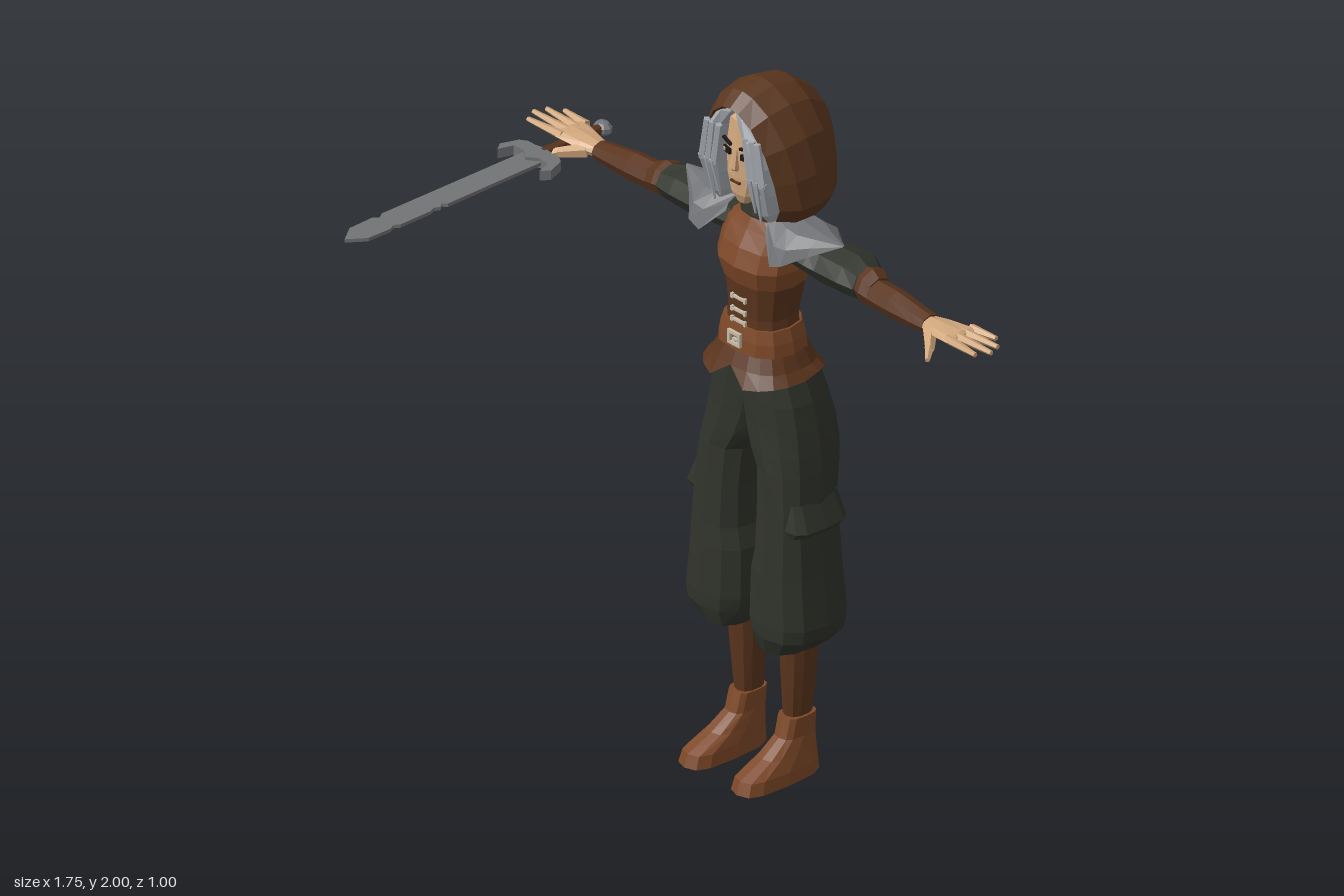
import * as THREE from 'three';

const mat = (name, color) => {
  const m = new THREE.MeshStandardMaterial({ color, side: THREE.DoubleSide });
  m.name = name;
  return m;
};

export function createModel() {
  const M = {
    hood: mat('hood brown', 0x5a361e), vest: mat('tan leather', 0x7d4827),
    leather: mat('dark leather', 0x5a341c), cloth: mat('dark green cloth', 0x30332b),
    skin: mat('skin', 0xd0a67c), hair: mat('silver hair', 0xa6aab0),
    steel: mat('steel', 0x727376), dark: mat('near black', 0x1d1815),
    pale: mat('pale metal', 0xc6bca8),
  };
  const model = new THREE.Group();
  model.name = 'hoodedSwordswoman';

  const add = (parent, name, geo, material) => {
    const g = geo.index ? geo.toNonIndexed() : geo;
    g.computeVertexNormals(); // faceted look
    const mesh = new THREE.Mesh(g, material);
    mesh.name = name;
    parent.add(mesh);
    return mesh;
  };

  // Skin over a list of rings; closed rings wrap round and get end caps
  const loft = (rings, closed = true) => {
    const n = rings[0].length, tris = [];
    const quad = (a, b, c, d) => tris.push([a, b, c], [a, c, d]);
    for (let i = 0; i + 1 < rings.length; i++)
      for (let j = 0; j < (closed ? n : n - 1); j++) {
        const k = (j + 1) % n;
        quad(rings[i][j], rings[i][k], rings[i + 1][k], rings[i + 1][j]);
      }
    if (closed) {
      const first = rings[0], last = rings[rings.length - 1];
      for (let j = 1; j + 1 < n; j++) {
        tris.push([first[0], first[j + 1], first[j]]);
        tris.push([last[0], last[j], last[j + 1]]);
      }
    }
    // turn the faces outward, measured from the middle of the part
    const mid = new THREE.Vector3();
    rings.flat().forEach(p => mid.add(p));
    mid.divideScalar(rings.length * n);
    const rel = p => p.clone().sub(mid);
    let vol = 0;
    for (const [a, b, c] of tris) vol += rel(a).dot(rel(b).cross(rel(c)));
    if (vol < 0) tris.forEach(t => t.reverse());
    return new THREE.BufferGeometry().setFromPoints(tris.flat());
  };
  const V = (x, y, z) => new THREE.Vector3(x, y, z);
  const sup = (c, e) => Math.sign(c) * Math.abs(c) ** e;
  const around = (n, f) => Array.from({ length: n }, (_, i) => f(i / n * Math.PI * 2));

  // Upright form from rows of [y, xMin, xMax, zFront, zBack]
  const upright = (rows, n = 12, e = 0.8) => loft(rows.map(([y, x0, x1, zf, zb]) =>
    around(n, t => V((x0 + x1) / 2 + (x1 - x0) / 2 * sup(Math.sin(t), e), y,
      (zf + zb) / 2 + (zf - zb) / 2 * sup(Math.cos(t), e)))));
  const sym = rows => rows.map(([y, w, zf, zb]) => [y, -w, w, zf, zb]);
  // Sideways form from rows of [x, yMid, yRadius, zMid, zRadius]
  const sideways = (rows, n = 8) => loft(rows.map(([x, y, ry, z, rz]) =>
    around(n, t => V(x, y + ry * Math.cos(t), z + rz * Math.sin(t)))));
  // Tapered rod between two points
  const rod = (a, b, ra, rb, n = 5) => {
    const d = b.clone().sub(a);
    return new THREE.CylinderGeometry(rb, ra, d.length(), n)
      .applyQuaternion(new THREE.Quaternion().setFromUnitVectors(V(0, 1, 0), d.clone().normalize()))
      .translate((a.x + b.x) / 2, (a.y + b.y) / 2, (a.z + b.z) / 2);
  };
  const box = (w, h, d, x, y, z, ry = 0, rz = 0) =>
    new THREE.BoxGeometry(w, h, d).rotateZ(rz).rotateY(ry).translate(x, y, z);

  // Torso
  add(model, 'vest', upright(sym([[1.605, 0.08, -0.25, -0.375], [1.575, 0.128, -0.235, -0.395],
    [1.53, 0.125, -0.208, -0.405], [1.48, 0.127, -0.19, -0.405], [1.425, 0.11, -0.205, -0.395]])), M.vest);
  add(model, 'corset', upright(sym([[1.43, 0.107, -0.207, -0.392], [1.38, 0.1, -0.21, -0.385],
    [1.33, 0.094, -0.214, -0.373], [1.29, 0.1, -0.21, -0.375]])), M.leather);
  add(model, 'belt', upright(sym([[1.305, 0.104, -0.204, -0.38], [1.27, 0.115, -0.196, -0.387],
    [1.235, 0.121, -0.192, -0.392]])), M.vest);
  add(model, 'collar', upright(sym([[1.56, 0.1, -0.25, -0.385], [1.61, 0.075, -0.25, -0.37],
    [1.66, 0.055, -0.262, -0.365]])), M.cloth);

  // Flared skirt of the vest, notched at the front and lifted at the sides
  const skirt = [[1.24, 0.115, -0.2, -0.39], [1.195, 0.138, -0.18, -0.412], [1.145, 0.16, -0.158, -0.43]];
  add(model, 'vestSkirt', loft(skirt.map(([y, w, zf, zb], i) => {
    const r = around(20, t => V(w * sup(Math.sin(t), 0.8),
      y + (i < 2 ? 0 : 0.025 * Math.abs(Math.sin(t)) + 0.01 * (Math.cos(t) < 0)),
      (zf + zb) / 2 + (zf - zb) / 2 * sup(Math.cos(t), 0.8)));
    if (i === 2) r[0].set(0, 1.198, -0.178);
    return [...r, r[0].clone()];
  }), false), M.leather);

  // Lacing and buckle
  for (const y of [1.382, 1.345, 1.315]) {
    add(model, 'lace', box(0.05, 0.007, 0.008, 0, y, -0.208), M.pale);
    for (const s of [-1, 1]) add(model, 'eyelet', box(0.008, 0.014, 0.008, s * 0.024, y, -0.207), M.pale);
  }
  const buckle = new THREE.Shape([[-0.024, -0.02], [0.024, -0.02], [0.024, 0.02], [-0.024, 0.02]].map(p => new THREE.Vector2(...p)));
  buckle.holes.push(new THREE.Path([[-0.014, -0.011], [-0.014, 0.011], [0.014, 0.011], [0.014, -0.011]].map(p => new THREE.Vector2(...p))));
  add(model, 'buckle', new THREE.ExtrudeGeometry(buckle, { depth: 0.009, bevelEnabled: false }).translate(0, 1.27, -0.197), M.pale);
  add(model, 'bucklePin', box(0.02, 0.006, 0.008, 0.006, 1.27, -0.191), M.pale);

  // Head and face
  const head = new THREE.Group();
  head.name = 'head';
  model.add(head);
  add(head, 'neck', rod(V(0, 1.6, -0.315), V(0, 1.72, -0.3), 0.042, 0.042, 8), M.skin);
  add(head, 'face', upright(sym([[1.662, 0.02, -0.212, -0.26], [1.69, 0.045, -0.2, -0.3],
    [1.74, 0.067, -0.195, -0.36], [1.82, 0.078, -0.195, -0.39], [1.9, 0.07, -0.205, -0.39],
    [1.95, 0.03, -0.25, -0.35]])), M.skin);
  add(head, 'nose', upright(sym([[1.825, 0.006, -0.192, -0.21], [1.772, 0.013, -0.176, -0.21],
    [1.762, 0.01, -0.19, -0.21]]), 6), M.skin);
  add(head, 'mouth', box(0.034, 0.006, 0.006, 0, 1.728, -0.196), M.leather);
  for (const s of [-1, 1]) {
    add(head, 'eye', box(0.03, 0.016, 0.008, s * 0.035, 1.808, -0.2, s * 0.25), M.dark);
    add(head, 'eyeGlint', box(0.008, 0.008, 0.008, s * 0.042, 1.809, -0.199, s * 0.25), M.pale);
    add(head, 'eyebrow', box(0.04, 0.007, 0.008, s * 0.036, 1.834, -0.2, s * 0.25, s * 0.15), M.dark);
    // Hair falls in a curtain on each side of an off-centre parting
    const p = s < 0 ? 0.015 : -0.025;
    const curtain = [[1.955, p, 0.05, -0.21, -0.3], [1.92, p, 0.085, -0.19, -0.35],
      [1.87, p + 0.035, 0.105, -0.178, -0.37], [1.8, 0.062, 0.114, -0.18, -0.38],
      [1.72, 0.066, 0.118, -0.188, -0.38], [1.66, 0.075, 0.11, -0.205, -0.35], [1.635, 0.088, 0.1, -0.225, -0.3]];
    add(head, 'hairCurtain', upright(curtain.map(([y, a, b, f, k]) =>
      s > 0 ? [y, a, b, f, k] : [y, -b, -a, f, k]), 10), M.hair);
    for (const [x0, x1, y1] of [[0.05, 0.07, 1.66], [0.075, 0.092, 1.64], [0.095, 0.115, 1.68]]) {
      add(head, 'hairLock', rod(V(s * x0, 1.88, -0.184), V(s * x1, 1.76, -0.185), 0.01, 0.012), M.hair);
      add(head, 'hairLock', rod(V(s * x1, 1.77, -0.184), V(s * x1 * 0.96, y1, -0.205), 0.012, 0.003), M.hair);
    }
  }

  // Hood: arches from the inner lip to the back, [zTop, zBottom, halfWidth, yTop, yBottom]
  const half = [[0.82, 0], [1, 0.14], [0.97, 0.38], [0.83, 0.66], [0.53, 0.88], [0.22, 0.98]];
  const arch = [...half, [0, 1], ...half.map(([x, y]) => [-x, y]).reverse()];
  add(model, 'hood', loft([[-0.22, -0.27, 0.118, 1.93, 1.65], [-0.176, -0.235, 0.135, 1.95, 1.64],
    [-0.22, -0.28, 0.172, 1.985, 1.635], [-0.29, -0.335, 0.183, 2, 1.64], [-0.37, -0.385, 0.168, 1.985, 1.645],
    [-0.44, -0.425, 0.135, 1.935, 1.655], [-0.49, -0.455, 0.075, 1.865, 1.69], [-0.5, -0.5, 0.01, 1.79, 1.77],
  ].map(([zt, zb, w, yt, yb]) => arch.map(([x, y]) => V(x * w, yb + (yt - yb) * y, zb + (zt - zb) * y))), false), M.hood);

  // One side of the body, then its mirror image
  const side = new THREE.Group();
  side.name = 'leftSide';
  // Arm and hand
  add(side, 'sleeve', sideways([[0.09, 1.555, 0.045, -0.31, 0.065], [0.2, 1.545, 0.045, -0.312, 0.065],
    [0.235, 1.54, 0.055, -0.325, 0.072], [0.32, 1.54, 0.054, -0.33, 0.076], [0.375, 1.54, 0.046, -0.315, 0.055],
    [0.385, 1.54, 0.03, -0.31, 0.04]]), M.cloth);
  add(side, 'elbowCuff', sideways([[0.37, 1.54, 0.046, -0.315, 0.05], [0.395, 1.538, 0.05, -0.315, 0.054],
    [0.425, 1.533, 0.042, -0.308, 0.044]]), M.leather);
  add(side, 'forearmGuard', sideways([[0.42, 1.532, 0.038, -0.306, 0.042], [0.5, 1.53, 0.039, -0.305, 0.042],
    [0.58, 1.528, 0.031, -0.302, 0.036], [0.63, 1.528, 0.026, -0.3, 0.032]]), M.leather);
  add(side, 'palm', sideways([[0.62, 1.528, 0.02, -0.3, 0.027], [0.67, 1.533, 0.021, -0.298, 0.042],
    [0.745, 1.54, 0.014, -0.302, 0.055], [0.755, 1.54, 0.008, -0.302, 0.05]]), M.skin);
  for (const [z0, x1, z1] of [[-0.347, 0.825, -0.352], [-0.32, 0.862, -0.324], [-0.292, 0.875, -0.29], [-0.264, 0.855, -0.252]])
    add(side, 'finger', rod(V(0.735, 1.54, z0), V(x1, 1.545, z1), 0.014, 0.007), M.skin);
  add(side, 'thumb', rod(V(0.655, 1.525, -0.275), V(0.715, 1.515, -0.22), 0.02, 0.013), M.skin);
  add(side, 'thumb', rod(V(0.71, 1.516, -0.224), V(0.742, 1.508, -0.188), 0.013, 0.007), M.skin);
  // Pointed shoulder plate
  add(side, 'shoulderPlate', loft([[0.075, 1.6, 1.638, 0.07], [0.135, 1.535, 1.637, 0.11], [0.175, 1.55, 1.63, 0.108],
    [0.225, 1.58, 1.624, 0.06], [0.3, 1.62, 1.622, 0.004]].map(([x, yb, yt, w]) =>
    [-1, -0.85, -0.45, 0, 0.45, 0.85, 1].map(k => V(x, yb + (yt - yb) * Math.sqrt(1 - k * k), -0.3 + w * k))), false), M.steel);
  // Trouser leg with cargo pocket
  add(side, 'trouserLeg', upright([[1.2, -0.06, 0.13, -0.215, -0.4], [1.1, -0.05, 0.165, -0.212, -0.42],
    [1.03, -0.035, 0.178, -0.21, -0.435], [0.96, -0.008, 0.19, -0.205, -0.436], [0.91, 0.025, 0.196, -0.203, -0.425],
    [0.8, 0.03, 0.207, -0.197, -0.405], [0.68, 0.028, 0.215, -0.19, -0.415], [0.62, 0.012, 0.22, -0.186, -0.42],
    [0.48, 0.008, 0.235, -0.18, -0.427], [0.44, 0.018, 0.226, -0.182, -0.427], [0.39, 0.04, 0.175, -0.2, -0.415],
    [0.385, 0.065, 0.14, -0.27, -0.37]]), M.cloth);
  add(side, 'pocketFlap', upright([[0.835, 0.1, 0.2, -0.22, -0.39], [0.765, 0.1, 0.231, -0.208, -0.4],
    [0.745, 0.1, 0.214, -0.215, -0.395]], 12, 0.6), M.cloth);
  // Shin and boot
  add(side, 'shinGuard', upright([[0.43, 0.05, 0.15, -0.275, -0.38], [0.3, 0.056, 0.138, -0.28, -0.375],
    [0.16, 0.063, 0.122, -0.287, -0.368]], 10), M.leather);
  add(side, 'boot', upright([[0.165, 0.058, 0.13, -0.275, -0.375], [0.11, 0.06, 0.13, -0.26, -0.372],
    [0.07, 0.055, 0.14, -0.2, -0.372], [0.035, 0.05, 0.15, -0.12, -0.375], [0, 0.046, 0.155, -0.108, -0.376]], 12, 0.65), M.vest);
  const other = side.clone();
  other.name = 'rightSide';
  other.scale.x = -1;
  model.add(side, other);

  // Sword lying flat under the right hand, point forward
  const sword = new THREE.Group();
  sword.name = 'sword';
  sword.position.set(-0.73, 1.515, 0);
  model.add(sword);
  const plate = (pts, d) => new THREE.ExtrudeGeometry(new THREE.Shape(pts.map(p => new THREE.Vector2(...p))),
    { depth: d, bevelEnabled: false }).rotateX(Math.PI / 2).translate(0, d / 2, 0);
  add(sword, 'blade', plate([[-0.036, -0.19], [0.036, -0.19], [0.038, 0.175], [0.026, 0.185], [0.038, 0.2], [0.03, 0.215],
    [0.038, 0.235], [0.038, 0.34], [0.028, 0.355], [0.038, 0.375], [0.036, 0.45], [0, 0.5], [-0.036, 0.45],
    [-0.038, 0.37], [-0.026, 0.355], [-0.038, 0.335]], 0.01), M.steel);
  const g = [[0.03, -0.193], [0.06, -0.193], [0.08, -0.18], [0.098, -0.13], [0.08, -0.105], [0.066, -0.148], [0.03, -0.152]];
  add(sword, 'guard', plate([[0, -0.2], ...g, [0, -0.13], ...g.map(([x, z]) => [-x, z]).reverse()], 0.028), M.steel);
  add(sword, 'grip', rod(V(0, 0, -0.385), V(0, 0, -0.19), 0.015, 0.017, 8), M.leather);
  add(sword, 'pommel', new THREE.SphereGeometry(0.03, 8, 5).scale(1, 0.7, 0.75).translate(0, 0, -0.4), M.steel);
  return model;
}
